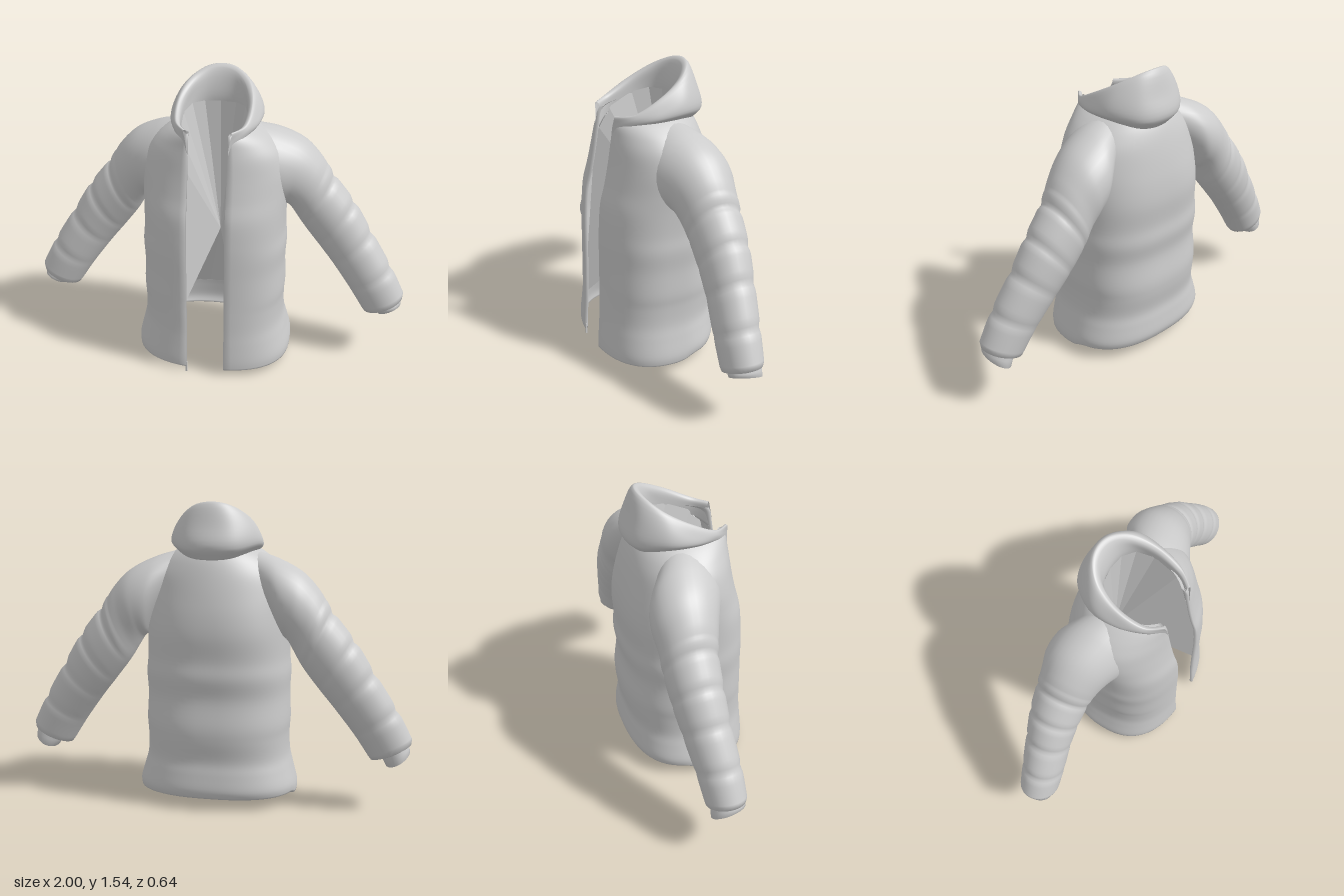
import * as THREE from 'three';

const V = (x, y, z) => new THREE.Vector3(x, y, z);
const material = new THREE.MeshStandardMaterial({ color: 0xcccccc, side: THREE.DoubleSide });

// Smoothly resample a table of number rows to n + 1 rows.
function resample(table, n) {
  const columns = table[0].map((_, c) => new THREE.SplineCurve(table.map(r => new THREE.Vector2(r[c], 0))));
  return Array.from({ length: n + 1 }, (_, i) => columns.map(curve => curve.getPoint(i / n).x));
}

// Skin a list of equally long, closed point rings.
function loft(rows) {
  const w = rows[0].length, index = [];
  for (let i = 0; i < rows.length - 1; i++) {
    for (let j = 0; j < w; j++) {
      const k = (j + 1) % w, a = i * w, b = a + w;
      index.push(a + j, b + j, a + k, a + k, b + j, b + k);
    }
  }
  const geometry = new THREE.BufferGeometry().setFromPoints(rows.flat());
  geometry.setIndex(index);
  geometry.computeVertexNormals();
  return geometry;
}

function add(group, name, geometry) {
  const mesh = new THREE.Mesh(geometry, material);
  mesh.name = name;
  group.add(mesh);
  return mesh;
}

// Body stations: height, half width, front z, back z, squareness, back hem lift
const BODY = [
  [0.03, 0.408, 0.325, -0.305, 2.5, 0.028],
  [0.08, 0.41, 0.325, -0.32, 2.5, 0.022],
  [0.17, 0.388, 0.32, -0.312, 2.5, 0.01],
  [0.25, 0.37, 0.316, -0.303, 2.5, 0],
  [0.35, 0.367, 0.314, -0.316, 2.5, 0],
  [0.43, 0.372, 0.312, -0.318, 2.5, 0],
  [0.56, 0.367, 0.311, -0.303, 2.5, 0],
  [0.67, 0.372, 0.31, -0.316, 2.5, 0],
  [0.76, 0.365, 0.307, -0.311, 2.5, 0],
  [0.88, 0.366, 0.298, -0.32, 2.4, 0],
  [0.98, 0.37, 0.275, -0.314, 2.2, 0],
  [1.08, 0.37, 0.258, -0.296, 2, 0],
  [1.17, 0.345, 0.246, -0.273, 1.95, 0],
  [1.235, 0.295, 0.24, -0.25, 1.95, 0],
  [1.28, 0.24, 0.24, -0.225, 2, 0],
  [1.31, 0.19, 0.24, -0.2, 2, 0],
];
const GAP = 0.098;

// Point on the body wall; u runs from the left front edge round the back to the right one.
function bodyPoint([y, w, zf, zb, n, lift], u, inset) {
  const W = w - inset, start = Math.asin(Math.pow(GAP / W, n / 2));
  const a = start + u * 2 * (Math.PI - start), s = Math.sin(a), c = Math.cos(a);
  const curve = t => Math.sign(t) * Math.pow(Math.abs(t), 2 / n);
  const z = curve(c) * (c > 0 ? zf - inset : -zb - inset);
  return V(W * curve(s), y + lift * THREE.MathUtils.smoothstep(-z, 0.01, 0.11), z);
}

// Double wall, closed round both front edges and the hem
function bodyGeometry() {
  const N = 64, stations = resample(BODY, 75);
  const rows = stations.map((st, i) => {
    const t = i === 0 ? 0.5 : 0, row = [];
    for (let j = 0; j <= N; j++) row.push(bodyPoint(st, j / N, 0.018 * t));
    for (let j = N; j >= 0; j--) row.push(bodyPoint(st, j / N, 0.018 * (1 - t)));
    return row;
  });
  return loft(rows);
}

// Sleeve stations: outer x, y, inner x, y, centre z, half depth
const SLEEVE = [
  [0.19, 1.297, 0.335, 0.89, -0.04, 0.16],
  [0.31, 1.262, 0.35, 0.87, -0.075, 0.182],
  [0.435, 1.2, 0.375, 0.85, -0.1, 0.17],
  [0.525, 1.11, 0.405, 0.8, -0.11, 0.15],
  [0.595, 1.0, 0.45, 0.725, -0.12, 0.137],
  [0.705, 0.86, 0.53, 0.62, -0.12, 0.127],
  [0.805, 0.7, 0.61, 0.52, -0.11, 0.116],
  [0.92, 0.515, 0.71, 0.385, -0.09, 0.108],
  [0.995, 0.37, 0.782, 0.275, -0.08, 0.1],
];

function sleeveSection([ox, oy, ix, iy, z, r], side, squeeze = 0, tilt = 0) {
  return Array.from({ length: 32 }, (_, j) => {
    const a = j / 32 * Math.PI * 2, c = Math.cos(a), s = Math.sin(a);
    const k = 1 - squeeze * (0.5 + 0.5 * c), h = c * k / 2;
    return V(side * ((ox + ix) / 2 + (ox - ix) * h), (oy + iy) / 2 + (oy - iy) * h + tilt * s, z + r * k * s);
  });
}

function sleeveGeometry(side) {
  const steps = 10, n = (SLEEVE.length - 1) * steps;
  const rows = resample(SLEEVE, n).map((st, i) => {
    const f = i / steps;
    // stitched rings between padded segments
    let squeeze = f > 3.5 ? -0.025 : 0;
    for (const ring of [4, 5, 6, 7]) squeeze += 0.085 * Math.exp(-(((f - ring) / 0.12) ** 2));
    return sleeveSection(st, side, squeeze);
  });
  // rolled sleeve end
  rows.push(sleeveSection([0.995, 0.345, 0.795, 0.258, -0.08, 0.096], side));
  rows.push(sleeveSection([0.975, 0.332, 0.83, 0.265, -0.08, 0.082], side));
  return loft(rows);
}

// Short open cuff, its slanted end turned in
function cuffGeometry(side) {
  return loft([
    [0.97, 0.36, 0.835, 0.295, -0.08, 0.08, 0],
    [0.986, 0.328, 0.855, 0.265, -0.08, 0.085, 0.008],
    [0.99, 0.305, 0.87, 0.24, -0.08, 0.085, 0.02],
    [0.98, 0.305, 0.878, 0.248, -0.08, 0.077, 0.02],
    [0.945, 0.37, 0.84, 0.31, -0.08, 0.072, 0],
  ].map(st => sleeveSection(st, side, 0, st[6])));
}

// Hood profiles from the left front edge to the back centre:
// seam, bulge, upper side, rim, inner rim, inner wall, inner neck
const HOOD = [
  [[0.1, 1.2, 0.228], [0.103, 1.25, 0.226], [0.11, 1.29, 0.222], [0.118, 1.33, 0.216], [0.107, 1.325, 0.206], [0.102, 1.28, 0.208], [0.098, 1.2, 0.21]],
  [[0.165, 1.27, 0.145], [0.178, 1.3, 0.145], [0.182, 1.325, 0.14], [0.172, 1.345, 0.135], [0.155, 1.335, 0.13], [0.152, 1.3, 0.13], [0.155, 1.25, 0.13]],
  [[0.205, 1.295, 0.02], [0.224, 1.32, 0.02], [0.215, 1.36, 0.015], [0.185, 1.41, 0.01], [0.165, 1.398, 0.005], [0.16, 1.34, 0], [0.165, 1.27, 0]],
  [[0.19, 1.295, -0.11], [0.222, 1.335, -0.12], [0.205, 1.41, -0.12], [0.155, 1.477, -0.11], [0.132, 1.462, -0.1], [0.135, 1.38, -0.085], [0.14, 1.27, -0.09]],
  [[0.11, 1.265, -0.21], [0.13, 1.315, -0.245], [0.12, 1.42, -0.225], [0.085, 1.523, -0.185], [0.075, 1.507, -0.16], [0.08, 1.39, -0.132], [0.08, 1.26, -0.15]],
  [[0, 1.25, -0.235], [0, 1.315, -0.282], [0, 1.42, -0.255], [0, 1.537, -0.21], [0, 1.522, -0.18], [0, 1.39, -0.145], [0, 1.26, -0.165]],
];

function hoodGeometry() {
  const mirrored = HOOD.slice(0, -1).reverse().map(p => p.map(([x, y, z]) => [-x, y, z]));
  const around = resample([...HOOD, ...mirrored].map(p => p.flat()), 80);
  const rows = around.map(flat => {
    const points = [];
    for (let i = 0; i < flat.length; i += 3) points.push(V(flat[i], flat[i + 1], flat[i + 2]));
    return new THREE.CatmullRomCurve3(points).getPoints(30);
  });
  return loft(rows);
}

// Flat-faced lining drawn from the hem line, front edges and neck to one inner point
function liningGeometry() {
  const station = [0.2, 0.38, 0.318, -0.308, 2.5, 0], loop = [];
  for (let j = 0; j <= 32; j++) loop.push(bodyPoint(station, 0.045 + 0.91 * j / 32, 0.014));
  const neck = [[0.165, 1.2, 0.2], [0.155, 1.28, 0.13], [0.162, 1.34, 0], [0.135, 1.36, -0.085], [0.08, 1.36, -0.132]];
  loop.push(...neck.map(([x, y, z]) => V(-x, y, z)), V(0, 1.36, -0.145));
  loop.push(...neck.reverse().map(p => V(...p)));
  const apex = V(0, 0.635, -0.14);
  const triangles = loop.flatMap((p, i) => [p, loop[(i + 1) % loop.length], apex]);
  const geometry = new THREE.BufferGeometry().setFromPoints(triangles);
  geometry.computeVertexNormals();
  return geometry;
}

export function createModel() {
  const jacket = new THREE.Group();
  jacket.name = 'jacket';
  add(jacket, 'body', bodyGeometry());
  add(jacket, 'hood', hoodGeometry());
  add(jacket, 'lining', liningGeometry());
  for (const side of [1, -1]) {
    const name = side > 0 ? 'left' : 'right';
    add(jacket, name + 'Sleeve', sleeveGeometry(side));
    add(jacket, name + 'Cuff', cuffGeometry(side));
  }
  // Loose zip end below the right front edge
  add(jacket, 'zipEnd', new THREE.BoxGeometry(0.01, 0.06, 0.008)).position.set(-0.1, 0.03, 0.313);
  return jacket;
}
